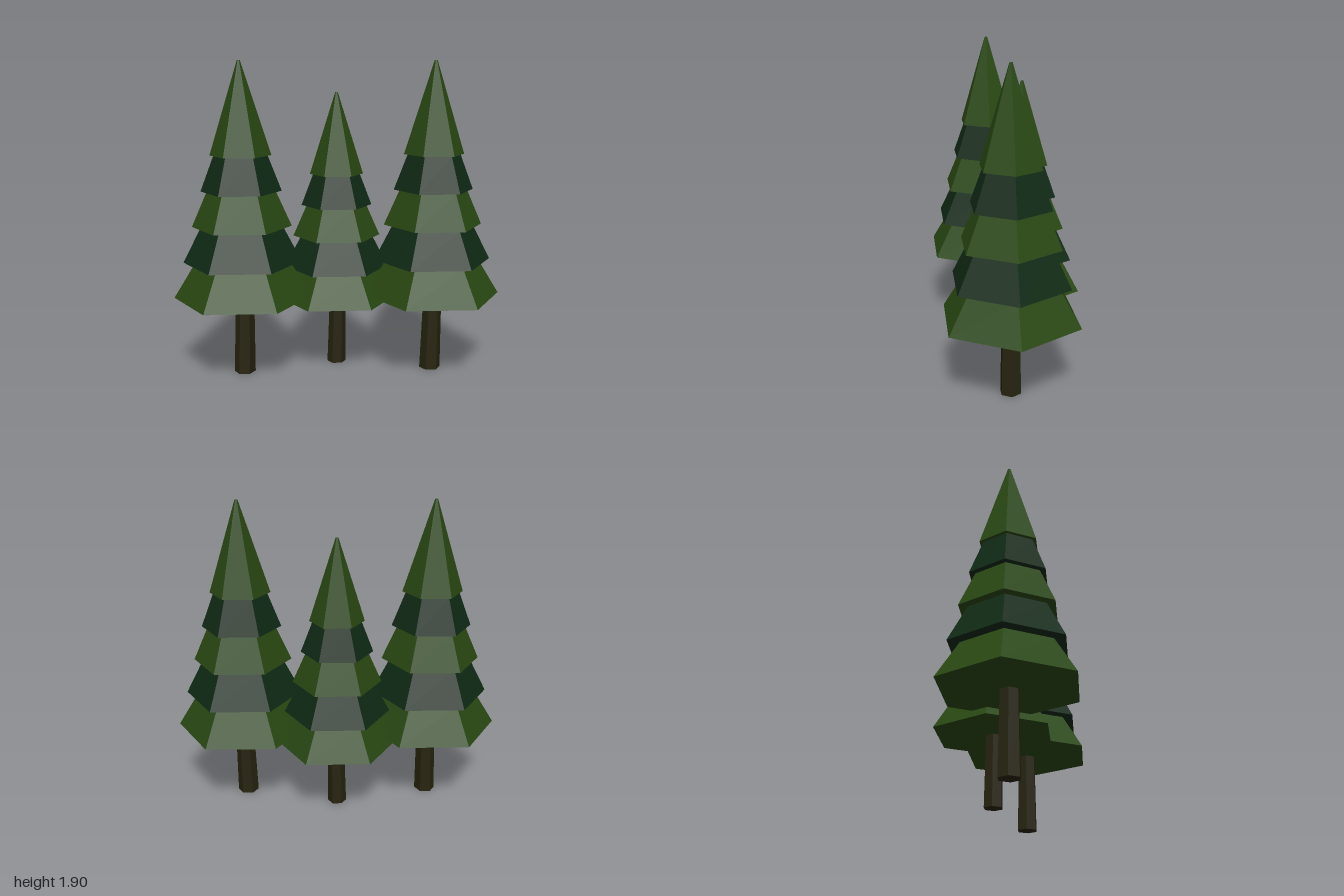
import * as THREE from 'three';

const leafLight = new THREE.MeshStandardMaterial({ color: 0x294812, flatShading: true });
leafLight.name = 'light green needles';
const leafDark = new THREE.MeshStandardMaterial({ color: 0x102a15, flatShading: true });
leafDark.name = 'dark green needles';
const bark = new THREE.MeshStandardMaterial({ color: 0x272410, flatShading: true });
bark.name = 'dark brown bark';

// Six-sided frustum standing on y = 0, with corners on the x axis
function hexFrustum(bottom, top, height) {
  const g = new THREE.CylinderGeometry(top, bottom, height, 6, 1, false, Math.PI / 6);
  return g.translate(0, height / 2, 0);
}

// Canopy tiers: base height, top height, base radius, top radius
const tiers = [
  [0.48, 0.70, 0.42, 0.285],
  [0.70, 0.92, 0.358, 0.245],
  [0.92, 1.135, 0.30, 0.205],
  [1.135, 1.35, 0.242, 0.16],
  [1.35, 1.905, 0.183, 0.009],
];

function makeTree(name) {
  const tree = new THREE.Group();
  tree.name = name;

  // Trunk tapers on its right side only, so its top leans a little to +x
  const trunkHeight = 0.49;
  const trunkGeometry = hexFrustum(0.065, 0.056, trunkHeight);
  trunkGeometry.applyMatrix4(new THREE.Matrix4().set(
    1, 0.009 / trunkHeight, 0, 0,
    0, 1, 0, 0,
    0, 0, 1, 0,
    0, 0, 0, 1));
  const trunk = new THREE.Mesh(trunkGeometry, bark);
  trunk.name = 'trunk';
  tree.add(trunk);

  // Stacked tiers in alternating greens
  tiers.forEach(([y0, y1, r0, r1], i) => {
    const tier = new THREE.Mesh(hexFrustum(r0, r1, y1 - y0), i % 2 ? leafDark : leafLight);
    tier.name = `canopyTier${i + 1}`;
    tier.position.y = y0;
    tree.add(tier);
  });
  return tree;
}

export function createModel() {
  const model = new THREE.Group();
  model.name = 'pineTrees';
  const placements = [
    ['rightTree', -0.58, 0.055, 1],
    ['middleTree', 0, -0.093, 0.9],
    ['leftTree', 0.58, 0.055, 1],
  ];
  for (const [name, x, z, scale] of placements) {
    const tree = makeTree(name);
    tree.position.set(x, 0, z);
    tree.scale.setScalar(scale);
    model.add(tree);
  }
  return model;
}
